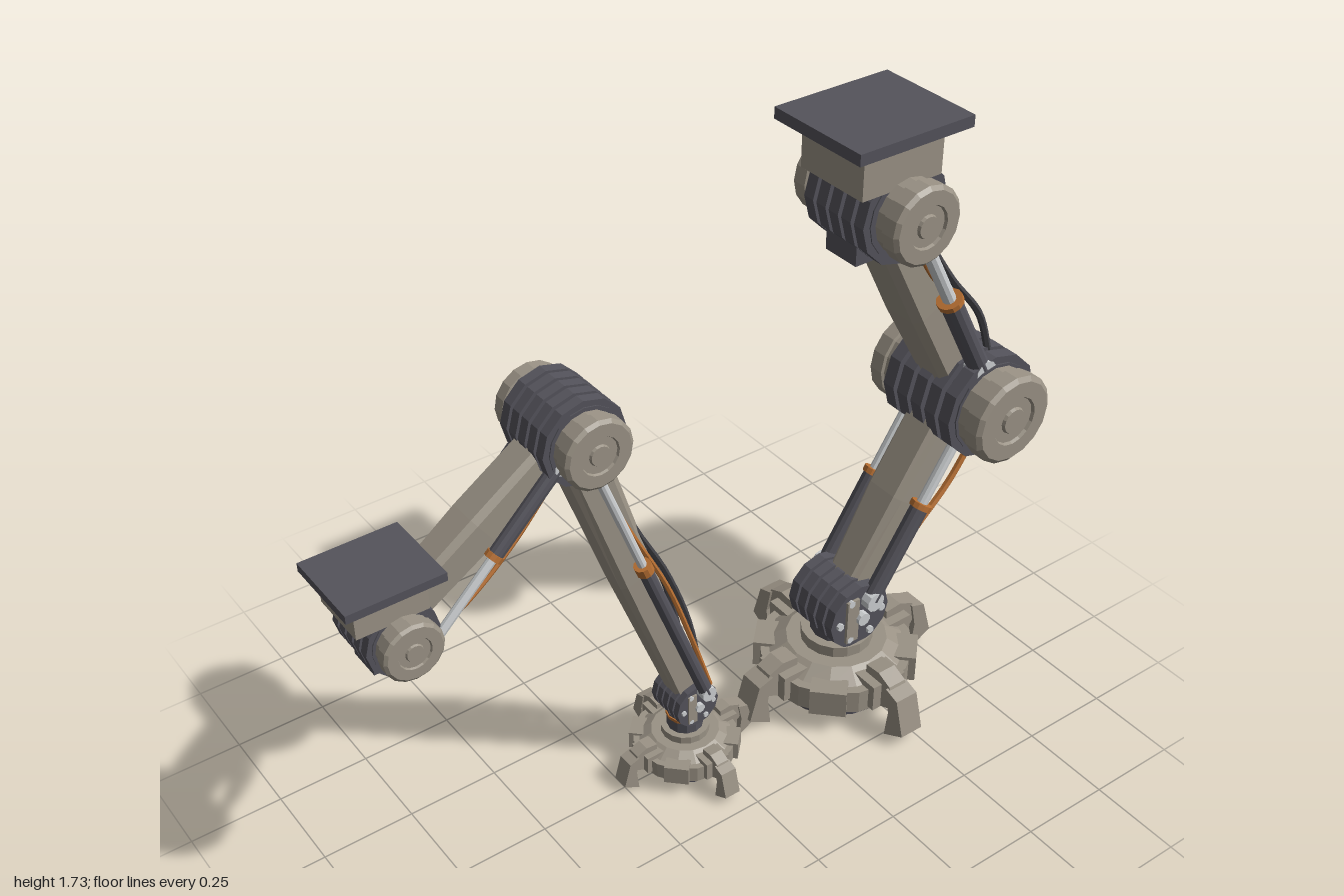
import * as THREE from 'three';

const paint = (name, color) => {
  const m = new THREE.MeshStandardMaterial({ color, flatShading: true });
  m.name = name;
  return m;
};

export function createModel() {
  const shell = paint('warm grey shell', 0x9a9285);
  const dark = paint('dark metal', 0x54535b);
  const steel = paint('bright steel', 0xcdd0d2);
  const copper = paint('copper', 0xb87033);
  const rubber = paint('hose rubber', 0x424247);

  const add = (parent, name, geo, mat, x = 0, y = 0, z = 0) => {
    const mesh = new THREE.Mesh(geo, mat);
    mesh.name = name;
    mesh.position.set(x, y, z);
    parent.add(mesh);
    return mesh;
  };
  const group = (parent, name) => {
    const g = new THREE.Group();
    g.name = name;
    parent.add(g);
    return g;
  };
  const box = (w, h, d) => new THREE.BoxGeometry(w, h, d);
  const cyl = (r, h, n = 16, r2 = r) => new THREE.CylinderGeometry(r, r2, h, n);
  const axle = (r, h, n) => cyl(r, h, n).rotateX(Math.PI / 2);

  // Lays a mesh whose length runs along y between two points of the xy plane
  const span = (mesh, a, b, z = 0) => {
    mesh.position.set((a[0] + b[0]) / 2, (a[1] + b[1]) / 2, z);
    mesh.rotation.z = Math.atan2(a[0] - b[0], b[1] - a[1]);
    return mesh;
  };
  const dist = (a, b) => Math.hypot(a[0] - b[0], a[1] - b[1]);
  const mix = (a, b, t) => [a[0] + (b[0] - a[0]) * t, a[1] + (b[1] - a[1]) * t];

  // Plate of (radius, height) points, centred on its thickness
  const plate = (pts, depth) => {
    const shape = new THREE.Shape(pts.map(p => new THREE.Vector2(...p)));
    return new THREE.ExtrudeGeometry(shape, { depth, bevelEnabled: false })
      .translate(0, 0, -depth / 2);
  };

  // Stepped round foot with four claws
  function buildBase(parent, x, s) {
    const g = group(parent, 'base');
    g.position.x = x;
    g.scale.setScalar(s);
    add(g, 'solePlate', cyl(0.17, 0.03, 16), dark, 0, 0.035);
    add(g, 'lowerRing', cyl(0.2, 0.03, 16, 0.18), shell, 0, 0.06);
    add(g, 'mainRing', cyl(0.215, 0.07, 16), shell, 0, 0.105);
    add(g, 'upperRing', cyl(0.14, 0.03, 16, 0.19), shell, 0, 0.155);
    add(g, 'hub', cyl(0.1, 0.035, 16), shell, 0, 0.185);
    add(g, 'neck', cyl(0.075, 0.09, 12), dark, 0, 0.235);
    add(g, 'neckBand', cyl(0.08, 0.014, 12), copper, 0, 0.265);
    for (let i = 0; i < 8; i++) {
      const arm = group(g, i % 2 ? 'rimBlock' : 'claw');
      arm.rotation.y = i * Math.PI / 4;
      if (i % 2) {
        add(arm, 'rimBlockBody', box(0.06, 0.08, 0.1), shell, 0.195, 0.11);
        continue;
      }
      add(arm, 'clawRoot', box(0.1, 0.08, 0.11), shell, 0.175, 0.12);
      add(arm, 'clawKnuckle', plate([[0.16, 0.08], [0.22, 0.08], [0.255, 0.095],
        [0.275, 0.125], [0.255, 0.17], [0.21, 0.19], [0.16, 0.185]], 0.055), shell);
      add(arm, 'clawTip', plate([[0.255, 0.005], [0.325, 0.045], [0.295, 0.15],
        [0.25, 0.165], [0.265, 0.09]], 0.07), shell);
    }
  }

  // Small pivot on the foot: discs, side bolts and bracket straps
  function buildShoulder(parent, [x, y], r, half) {
    const g = group(parent, 'shoulder');
    g.position.set(x, y, 0);
    for (let i = -2; i <= 2; i++)
      add(g, 'shoulderDisc', axle(r, half * 0.32, 12), dark, 0, 0, i * half * 0.42);
    add(g, 'shoulderCore', axle(r * 0.85, half * 2, 12), dark);
    for (const side of [1, -1]) {
      add(g, 'shoulderStrap', box(r * 0.4, r * 1.4, half * 0.12), shell, -r * 0.3, 0, side * half * 1.04);
      add(g, 'shoulderPin', axle(r * 0.2, half * 0.25, 10), steel, 0, 0, side * half * 1.1);
      for (let i = 0; i < 6; i++) {
        const a = i * Math.PI / 3;
        add(g, 'shoulderBolt', axle(r * 0.11, half * 0.12, 6), steel,
          Math.cos(a) * r * 0.72, Math.sin(a) * r * 0.72, side * half * 1.05);
      }
    }
  }

  // Large pivot: stacked dark discs between two stepped end caps
  function buildJoint(parent, name, [x, y], r, capR, inner, outer) {
    const g = group(parent, name);
    g.position.set(x, y, 0);
    add(g, 'jointCore', axle(r * 0.85, inner * 2, 16), dark);
    for (let i = -2; i <= 2; i++)
      add(g, 'jointDisc', axle(r, inner * 0.3, 12), dark, 0, 0, i * inner * 0.41);
    const t = outer - inner;
    const profile = [[0, 0], [0.93, 0], [0.93, 0.35], [1, 0.38], [1, 0.88], [0.9, 1], [0.55, 1],
      [0.52, 0.9], [0.3, 0.9], [0.27, 1], [0, 1]].map(p => new THREE.Vector2(p[0] * capR, p[1] * t));
    for (const side of [1, -1]) {
      const cap = add(g, 'endCap', new THREE.LatheGeometry(profile, 16), shell, 0, 0, side * inner);
      cap.rotation.x = side * Math.PI / 2;
    }
  }

  // Chamfered beam, tapered from section a to section b: [half width, half depth]
  function buildBeam(parent, name, a, b, sa, sb) {
    const geo = new THREE.CylinderGeometry(1, 1, 1, 8, 2);
    geo.rotateY(Math.PI / 8);
    const p = geo.attributes.position;
    for (let i = 0; i < p.count; i++) {
      const t = p.getY(i) + 0.5;
      const bulge = 1.08 + 0.12 * Math.sin(t * Math.PI);
      // Corners pulled outwards to leave narrow chamfers
      const sx = Math.sign(p.getX(i)) * (Math.abs(p.getX(i)) > 0.6 ? 1 : 0.72);
      const sz = Math.sign(p.getZ(i)) * (Math.abs(p.getZ(i)) > 0.6 ? 1 : 0.72);
      const centre = Math.hypot(p.getX(i), p.getZ(i)) < 0.1 ? 0 : 1;
      p.setX(i, centre * sx * (sa[0] + (sb[0] - sa[0]) * t) * bulge);
      p.setZ(i, centre * sz * (sa[1] + (sb[1] - sa[1]) * t) * bulge);
    }
    geo.scale(1, dist(a, b), 1);
    geo.computeVertexNormals();
    span(add(parent, name, geo, shell), a, b);
  }

  // Mirrored pair of rams: barrel from a, rod to b
  function buildRams(parent, a, b, ratio, z, r) {
    const m = mix(a, b, ratio);
    for (const side of [1, -1]) {
      const g = group(parent, 'ram');
      const end = mix(a, b, ratio + 0.03);
      span(add(g, 'ramBarrel', cyl(r, dist(a, m), 12), dark), a, m, side * z);
      span(add(g, 'ramCollar', cyl(r * 1.2, dist(m, end), 12), copper), m, end, side * z);
      span(add(g, 'ramRod', cyl(r * 0.62, dist(m, b), 10), steel), m, b, side * z);
      for (const p of [a, b])
        add(g, 'ramEye', axle(r * 1.15, r * 1.9, 10), steel, p[0], p[1], side * z);
    }
  }

  const hose = (parent, name, pts, z, r, mat) => {
    const curve = new THREE.CatmullRomCurve3(pts.map(p => new THREE.Vector3(p[0], p[1], z)));
    add(parent, name, new THREE.TubeGeometry(curve, 20, r, 6), mat);
  };

  // Box under a flat mounting plate: [x0, x1, y0, y1, half depth]
  const slab = (parent, name, [x0, x1, y0, y1, d], mat) =>
    add(parent, name, box(x1 - x0, y1 - y0, d * 2), mat, (x0 + x1) / 2, (y0 + y1) / 2);

  const model = new THREE.Group();
  model.name = 'twoArms';

  // Large arm
  const big = group(model, 'largeArm');
  const bs = [0.465, 0.295], be = [0.845, 0.845], bw = [0.51, 1.505];
  buildBase(big, 0.465, 1);
  buildShoulder(big, bs, 0.1, 0.09);
  buildJoint(big, 'elbow', be, 0.15, 0.128, 0.13, 0.215);
  buildJoint(big, 'wrist', bw, 0.13, 0.103, 0.11, 0.188);
  buildBeam(big, 'lowerBeam', bs, be, [0.04, 0.045], [0.075, 0.06]);
  buildBeam(big, 'upperBeam', be, bw, [0.055, 0.055], [0.065, 0.06]);
  buildRams(big, [0.495, 0.345], [0.79, 0.8], 0.52, 0.095, 0.025);
  buildRams(big, [0.815, 0.96], [0.575, 1.42], 0.52, 0.1, 0.029);
  slab(big, 'elbowBlock', [0.87, 0.96, 0.69, 0.8, 0.045], dark);
  slab(big, 'wristBlock', [0.41, 0.51, 1.375, 1.5, 0.055], dark);
  slab(big, 'mountBox', [0.37, 0.61, 1.58, 1.71, 0.11], shell);
  slab(big, 'mountPlate', [0.32, 0.66, 1.7, 1.73, 0.152], dark);
  hose(big, 'upperHose', [[0.58, 1.45], [0.7, 1.3], [0.82, 1.14], [0.9, 0.95]], -0.07, 0.012, rubber);
  hose(big, 'upperHose', [[0.6, 1.42], [0.72, 1.24], [0.83, 1.1], [0.88, 0.96]], 0.065, 0.01, rubber);
  hose(big, 'upperCopperLine', [[0.57, 1.42], [0.64, 1.29], [0.75, 1.15], [0.8, 0.96]], 0.075, 0.01, copper);
  hose(big, 'lowerHose', [[0.87, 0.74], [0.77, 0.57], [0.66, 0.47], [0.52, 0.34]], -0.07, 0.011, rubber);
  hose(big, 'lowerCopperLine', [[0.86, 0.73], [0.77, 0.6], [0.66, 0.49], [0.52, 0.33]], 0.072, 0.01, copper);

  // Small arm
  const small = group(model, 'smallArm');
  const ss = [-0.053, 0.23], se = [-0.38, 1.22], sw = [-0.86, 0.89];
  buildBase(small, -0.053, 0.65);
  buildShoulder(small, ss, 0.065, 0.058);
  buildJoint(small, 'elbow', se, 0.11, 0.09, 0.09, 0.15);
  buildJoint(small, 'wrist', sw, 0.092, 0.076, 0.08, 0.13);
  buildBeam(small, 'lowerBeam', ss, se, [0.028, 0.03], [0.055, 0.045]);
  buildBeam(small, 'upperBeam', se, sw, [0.045, 0.045], [0.042, 0.04]);
  buildRams(small, [-0.035, 0.28], [-0.35, 1.13], 0.57, 0.068, 0.019);
  buildRams(small, [-0.44, 1.18], [-0.8, 0.83], 0.48, 0.072, 0.019);
  slab(small, 'elbowBlock', [-0.455, -0.3, 1.11, 1.19, 0.045], dark);
  slab(small, 'wristBlock', [-0.925, -0.79, 0.8, 0.88, 0.045], dark);
  slab(small, 'mountBox', [-0.97, -0.79, 0.95, 1.035, 0.08], shell);
  slab(small, 'mountPlate', [-1, -0.755, 1.03, 1.052, 0.11], dark);
  hose(small, 'lowerHose', [[-0.32, 1.14], [-0.23, 0.92], [-0.12, 0.7], [-0.05, 0.47], [-0.02, 0.26]], -0.045, 0.008, rubber);
  hose(small, 'lowerHose', [[-0.32, 1.13], [-0.22, 0.88], [-0.13, 0.7], [-0.06, 0.5], [-0.02, 0.28]], 0.03, 0.008, rubber);
  hose(small, 'lowerCopperLine', [[-0.35, 1.13], [-0.26, 0.92], [-0.14, 0.67], [-0.07, 0.47], [-0.01, 0.28]], 0.052, 0.007, copper);
  hose(small, 'upperHose', [[-0.45, 1.13], [-0.56, 1.03], [-0.68, 0.92], [-0.8, 0.85]], -0.05, 0.008, rubber);
  hose(small, 'upperCopperLine', [[-0.46, 1.11], [-0.56, 1.0], [-0.68, 0.9], [-0.8, 0.83]], 0.052, 0.007, copper);

  return model;
}
